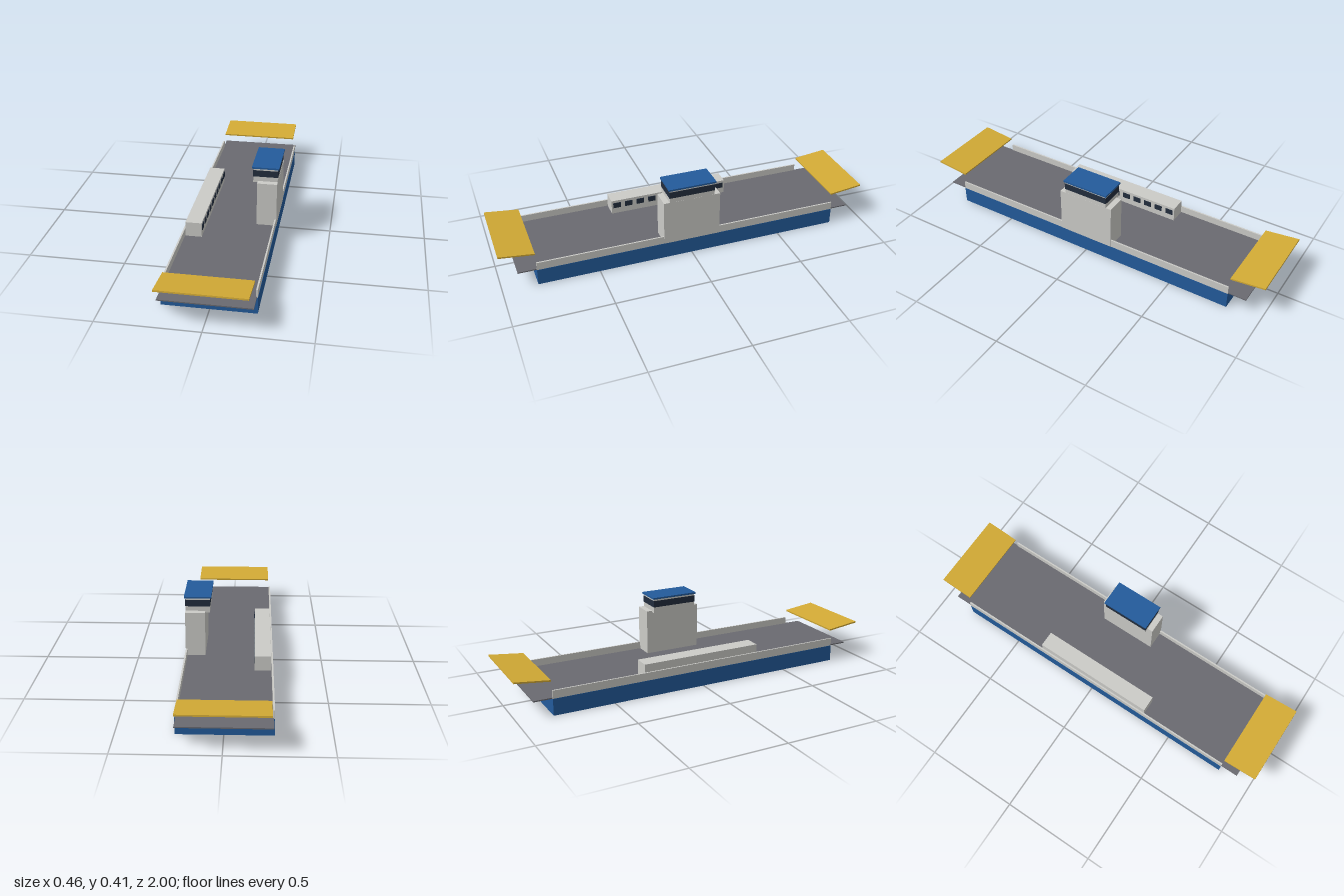
import * as THREE from 'three';

const mat = (name, color) => {
  const m = new THREE.MeshStandardMaterial({ color });
  m.name = name;
  return m;
};

export function createModel() {
  const ferry = new THREE.Group();
  ferry.name = 'ferry';
  const blue = mat('hullBlue', 0x235b9b);
  const grey = mat('deckGrey', 0x6a6a70);
  const white = mat('paleGrey', 0xcbcbc7);
  const dark = mat('windowDark', 0x222d3d);
  const yellow = mat('rampYellow', 0xd2aa35);

  // Box given by its extents on each axis
  const box = (name, material, [x0, x1], [y0, y1], [z0, z1]) => {
    const mesh = new THREE.Mesh(new THREE.BoxGeometry(x1 - x0, y1 - y0, z1 - z0), material);
    mesh.position.set((x0 + x1) / 2, (y0 + y1) / 2, (z0 + z1) / 2);
    mesh.name = name;
    ferry.add(mesh);
    return mesh;
  };

  // Hull and the deck that overhangs both ends
  box('hull', blue, [-0.232, 0.224], [0, 0.087], [-0.82, 0.82]);
  box('deck', grey, [-0.227, 0.219], [0.086, 0.092], [-0.915, 0.915]);

  // Bulwarks along both sides
  box('rightBulwark', white, [-0.231, -0.223], [0.087, 0.129], [-0.82, 0.82]);
  box('leftBulwark', white, [0.215, 0.223], [0.087, 0.129], [-0.82, 0.82]);

  // Passenger cabin with a row of windows facing the deck
  box('passengerCabin', white, [-0.22, -0.136], [0.09, 0.17], [-0.33, 0.33]);
  for (let i = 0; i < 10; i++) {
    const z = -0.3 + (i * 0.6) / 9;
    box('cabinWindow', dark, [-0.137, -0.133], [0.126, 0.156], [z - 0.021, z + 0.021]);
  }

  // Bridge tower, wheelhouse with its window band, and roof
  box('bridgeTower', white, [0.121, 0.2245], [0.087, 0.33], [-0.153, 0.153]);
  box('wheelhouse', white, [0.097, 0.224], [0.322, 0.4], [-0.122, 0.122]);
  box('wheelhouseWindows', dark, [0.096, 0.2255], [0.355, 0.39], [-0.1235, 0.1235]);
  box('wheelhouseRoof', blue, [0.09, 0.231], [0.4, 0.409], [-0.128, 0.128]);

  // Raised loading ramps, tilted up towards the outer end
  const tilt = Math.atan2(0.021, 0.18);
  for (const side of [1, -1]) {
    const ramp = box('loadingRamp', yellow, [-0.217, 0.21], [0.1805, 0.1885], [-0.0905, 0.0905]);
    ramp.position.z = side * 0.91;
    ramp.rotation.x = -side * tilt;
  }

  return ferry;
}
